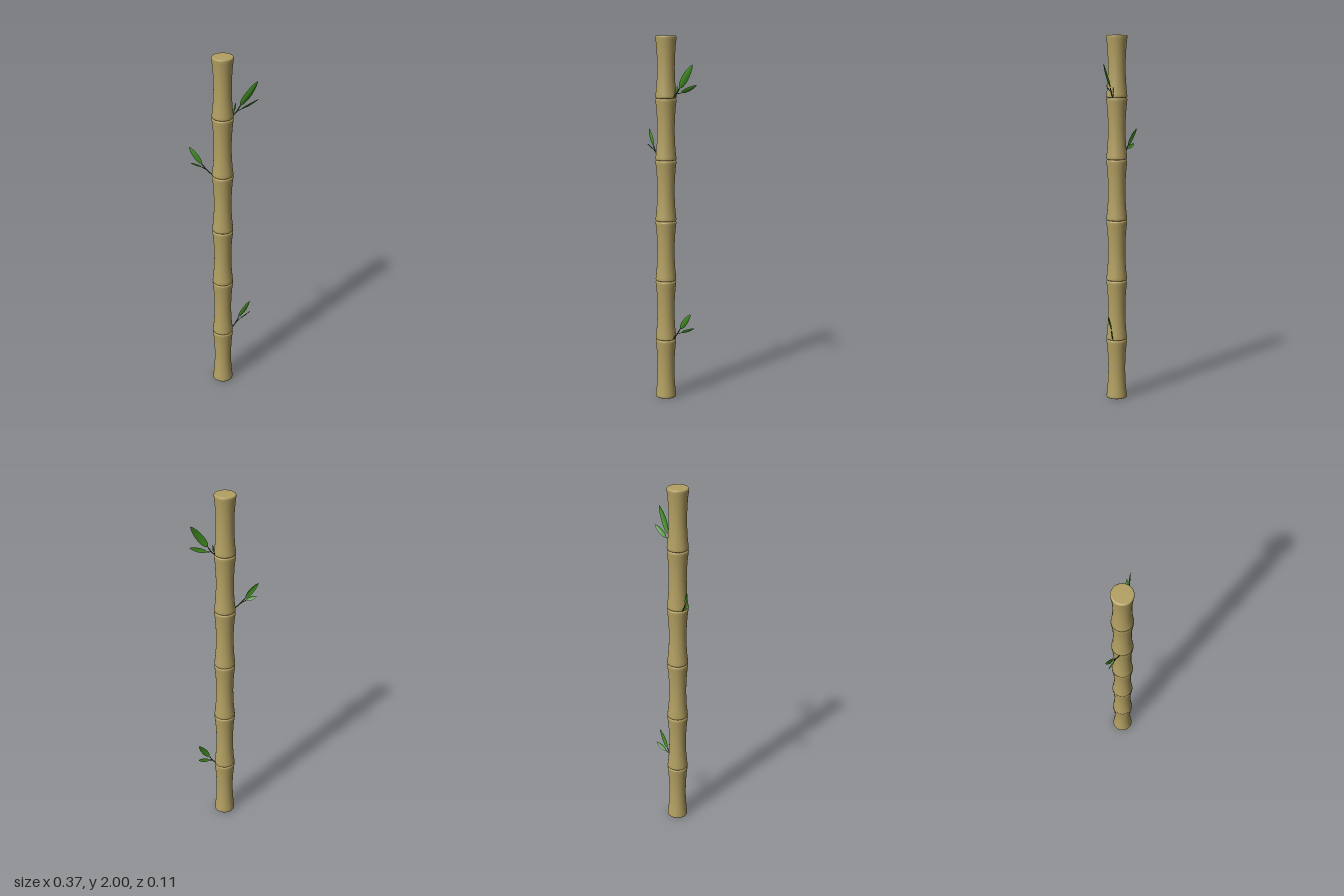
import * as THREE from 'three';

const V = (a) => new THREE.Vector3(...a);
const STALK_X = -0.016;
const SEGMENTS = 6;
const SEG_H = 2 / SEGMENTS;

const stalkMat = new THREE.MeshStandardMaterial({ color: 0xb3a062 });
const twigMat = new THREE.MeshStandardMaterial({ color: 0x35521f });
const leafMat = new THREE.MeshStandardMaterial({ color: 0x3f8a20, side: THREE.DoubleSide });

// One waisted stalk section with rounded rims, so neighbours meet in a groove
function stalkSegment() {
  const half = [[0, 0], [0.047, 0], [0.053, 0.001], [0.0562, 0.004], [0.057, 0.009], [0.0558, 0.022],
    [0.0525, 0.05], [0.0495, 0.09], [0.0478, 0.13]];
  const pts = [...half, [0.0472, SEG_H / 2], ...half.map(([r, y]) => [r, SEG_H - y]).reverse()];
  return new THREE.LatheGeometry(pts.map(([r, y]) => new THREE.Vector2(r, y)), 40);
}

// A thin pointed leaf from base to tip; roll turns the blade about its length
function leaf(name, base, tip, width, roll) {
  const a = V(base), dir = V(tip).sub(a), len = dir.length();
  dir.normalize();
  const geo = new THREE.PlaneGeometry(1, 1, 4, 14);
  const p = geo.attributes.position;
  for (let i = 0; i < p.count; i++) {
    const t = p.getY(i) + 0.5, s = p.getX(i) * 2;
    const w = width / 2 * Math.pow(Math.sin(Math.PI * Math.pow(t, 0.8)), 0.65);
    const fold = Math.abs(s) * w * 0.3;
    const bow = 0.04 * len * Math.sin(Math.PI * t);
    p.setXYZ(i, s * w, t * len, fold - bow);
  }
  geo.computeVertexNormals();
  // Blade frame: across, along, facing
  const across = new THREE.Vector3(0, 0, 1).cross(dir).normalize().applyAxisAngle(dir, roll);
  const facing = across.clone().cross(dir);
  geo.applyMatrix4(new THREE.Matrix4().makeBasis(across, dir, facing).setPosition(a));
  const mesh = new THREE.Mesh(geo, leafMat);
  mesh.name = name;
  return mesh;
}

function twig(points, radius) {
  const curve = new THREE.CatmullRomCurve3(points.map(V));
  const mesh = new THREE.Mesh(new THREE.TubeGeometry(curve, 8, radius, 6), twigMat);
  mesh.name = 'twig';
  return mesh;
}

// A main twig ending in a large leaf, forking to a smaller one
function sprig({ name, root, fork, bigBase, bigTip, bigW, smallBase, smallTip, smallW, roll, bud }) {
  const g = new THREE.Group();
  g.name = name;
  g.add(
    twig([root, fork, bigBase], 0.003),
    twig([fork, smallBase], 0.002),
    leaf('largeLeaf', bigBase, bigTip, bigW, roll),
    leaf('smallLeaf', smallBase, smallTip, smallW, roll * 3.5),
  );
  if (bud) g.add(twig([root, bud[0]], 0.002), leaf('buddingLeaf', bud[0], bud[1], 0.012, 0.5));
  return g;
}

export function createModel() {
  const model = new THREE.Group();
  model.name = 'bambooStalk';

  // Stalk
  const segGeo = stalkSegment();
  for (let i = 0; i < SEGMENTS; i++) {
    const seg = new THREE.Mesh(segGeo, stalkMat);
    seg.name = 'stalkSegment';
    seg.position.set(STALK_X, i * SEG_H, 0);
    model.add(seg);
  }

  // Leafy sprigs growing from the nodes
  const sprigs = [
    {
      name: 'upperSprig', root: [0.034, 1.668, 0.003], fork: [0.058, 1.692, 0.002],
      bigBase: [0.077, 1.722, 0.001], bigTip: [0.17, 1.85, 0.004], bigW: 0.04,
      smallBase: [0.085, 1.699, -0.006], smallTip: [0.182, 1.742, -0.015], smallW: 0.025, roll: 0.2,
      bud: [[0.046, 1.69, -0.004], [0.056, 1.737, -0.01]],
    },
    {
      name: 'middleSprig', root: [-0.066, 1.335, -0.001], fork: [-0.1, 1.37, -0.014],
      bigBase: [-0.124, 1.402, -0.024], bigTip: [-0.184, 1.494, -0.054], bigW: 0.028,
      smallBase: [-0.127, 1.386, -0.022], smallTip: [-0.182, 1.408, -0.038], smallW: 0.02, roll: -0.2,
    },
    {
      name: 'lowerSprig', root: [0.034, 0.338, 0.003], fork: [0.06, 0.37, -0.002],
      bigBase: [0.08, 0.404, -0.007], bigTip: [0.147, 0.497, -0.014], bigW: 0.031,
      smallBase: [0.085, 0.383, -0.012], smallTip: [0.156, 0.414, -0.033], smallW: 0.02, roll: 0.2,
    },
  ];
  sprigs.forEach((s) => model.add(sprig(s)));
  return model;
}
